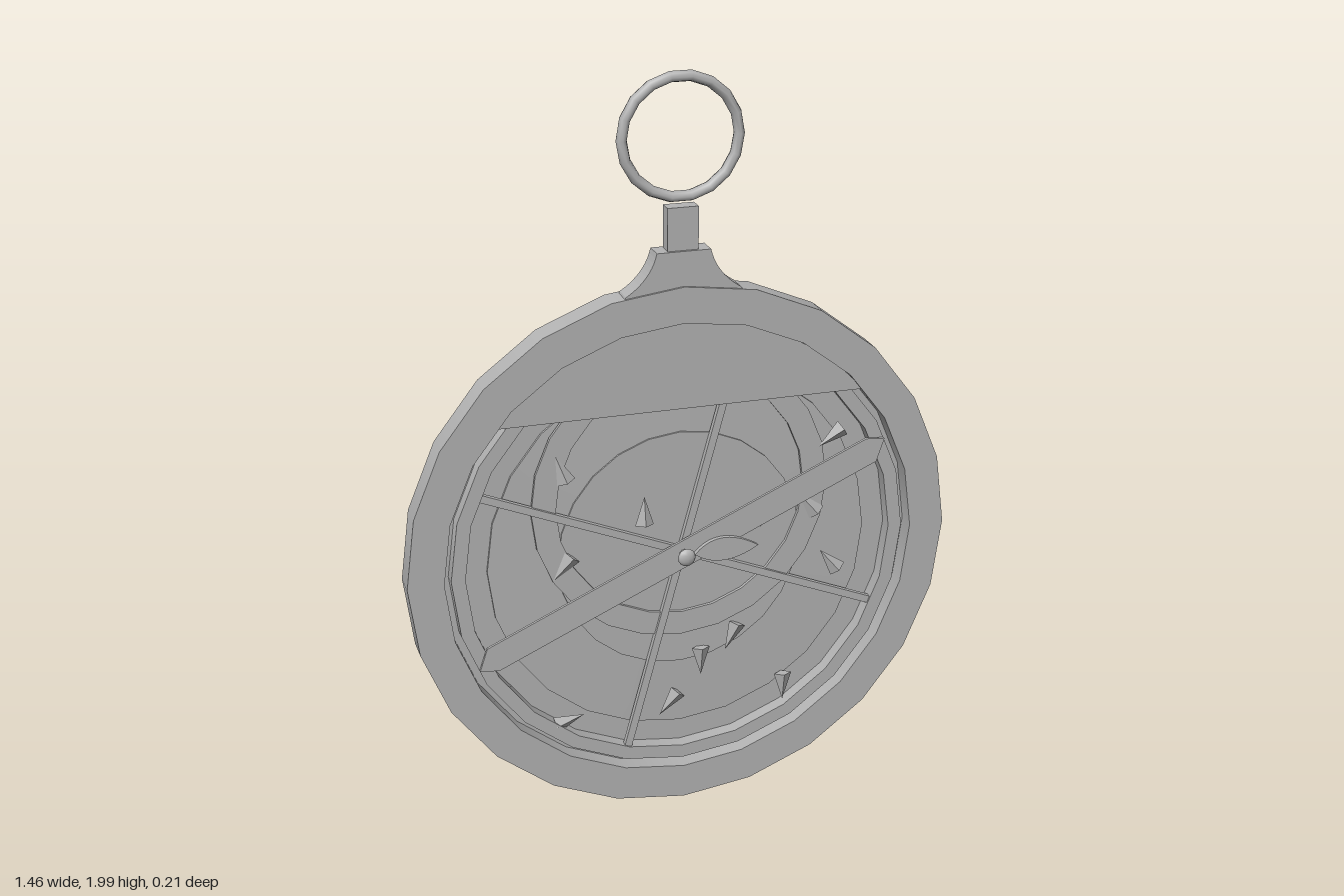
import * as THREE from 'three';
import { mergeGeometries } from 'three/addons/utils/BufferGeometryUtils.js';

const CY = 0.735; // height of the dial centre
const SIDES = 24;

export function createModel() {
  const model = new THREE.Group();
  const metal = new THREE.MeshStandardMaterial({ color: 0xb4b4b4 });
  metal.name = 'grey metal';

  const dial = new THREE.Group();
  dial.name = 'dial';
  dial.position.y = CY;
  model.add(dial);

  function add(parent, name, geometry, x = 0, y = 0, z = 0, angle = 0) {
    const mesh = new THREE.Mesh(geometry, metal);
    mesh.name = name;
    mesh.position.set(x, y, z);
    mesh.rotation.z = angle;
    parent.add(mesh);
    return mesh;
  }

  // Turned part facing +z, with a sharp edge at every profile point
  function turned(profile) {
    const bands = [];
    for (let i = 0; i + 1 < profile.length; i++) {
      const pair = [profile[i], profile[i + 1]].map(p => new THREE.Vector2(...p));
      bands.push(new THREE.LatheGeometry(pair, SIDES));
    }
    return mergeGeometries(bands).rotateX(Math.PI / 2);
  }

  const ringProfile = (inner, outer, back, front) => [
    [inner, back], [outer, back], [outer, front], [inner, front], [inner, back]];

  function plate(points, depth) {
    const shape = points instanceof THREE.Shape ? points
      : new THREE.Shape(points.map(p => new THREE.Vector2(...p)));
    return new THREE.ExtrudeGeometry(shape, { depth, bevelEnabled: false, curveSegments: 10 });
  }

  // Case with raised rim and recessed floor
  add(dial, 'case', turned([
    [0, 0], [0.73, 0], [0.73, 0.073], [0.635, 0.073], [0.635, 0.022], [0, 0.022]]));

  // Shallow stepped discs on the floor
  add(dial, 'outerDisc', turned([[0.515, 0.022], [0.515, 0.029], [0.33, 0.032]]));
  add(dial, 'innerDisc', turned([[0.33, 0.03], [0.33, 0.037], [0, 0.037]]));

  // Segment plate across the top of the dial
  const a = Math.asin(0.405 / 0.635);
  const segment = new THREE.Shape();
  segment.absarc(0, 0, 0.633, a, Math.PI - a, false);
  segment.closePath();
  add(dial, 'horizonPlate', plate(segment, 0.02), 0, 0, 0.044);

  // Pierced star map: outer ring, offset ring and crossing spokes
  add(dial, 'starRing', turned(ringProfile(0.578, 0.615, 0.022, 0.06)));
  add(dial, 'offsetRing', turned(ringProfile(0.335, 0.4, 0.036, 0.046)), 0, 0.155);
  add(dial, 'longSpoke', new THREE.BoxGeometry(1.18, 0.02, 0.016), 0, 0, 0.047, -0.39);
  add(dial, 'crossSpoke', new THREE.BoxGeometry(1.18, 0.02, 0.016), 0, 0, 0.047, 1.305);

  // Star pointers: x, y, direction of the tip in degrees
  const stars = [
    [-0.32, 0.27, 110], [-0.1, 0.125, 90], [0.41, 0.27, 215], [0.185, 0.07, 170],
    [-0.32, -0.01, 230], [0.415, -0.085, 130], [-0.31, -0.455, 15], [-0.035, -0.45, 230],
    [0.29, -0.45, 270], [0.055, -0.335, 270], [0.14, -0.275, 245], [0.35, 0.09, 130]];
  const pointer = new THREE.ConeGeometry(0.025, 0.08, 4).toNonIndexed();
  pointer.scale(1, 1, 0.6);
  pointer.computeVertexNormals();
  for (const [x, y, deg] of stars) {
    add(dial, 'starPointer', pointer, x, y, 0.046, THREE.MathUtils.degToRad(deg - 90));
  }

  // Rotating rule with pointed ends
  add(dial, 'rule', plate([
    [-0.61, -0.012], [-0.565, -0.037], [0.565, -0.037], [0.61, 0.012],
    [0.565, 0.037], [-0.565, 0.037]], 0.008), 0, 0, 0.064, 0.42);

  // Centre pin, its knob and the leaf-shaped wedge
  add(dial, 'pin', new THREE.CylinderGeometry(0.014, 0.014, 0.075, 12).rotateX(Math.PI / 2), 0, 0, 0.06);
  add(dial, 'pinKnob', new THREE.SphereGeometry(0.024, 12, 8).scale(1, 1, 0.5), 0, 0, 0.094);
  const leaf = new THREE.Shape();
  leaf.moveTo(0.025, 0);
  leaf.quadraticCurveTo(0.09, 0.075, 0.2, 0.005);
  leaf.quadraticCurveTo(0.1, -0.055, 0.025, 0);
  add(dial, 'wedge', plate(leaf, 0.012), 0, 0, 0.073);

  // Sighting bar on the back with two upright vanes
  const sight = new THREE.Group();
  sight.name = 'sightingBar';
  sight.rotation.z = -0.203;
  dial.add(sight);
  add(sight, 'bar', new THREE.BoxGeometry(0.052, 1.33, 0.016), 0, 0, -0.008);
  for (const side of [-1, 1]) {
    add(sight, 'sightVane', new THREE.BoxGeometry(0.074, 0.012, 0.092), 0, side * 0.465, -0.06);
  }

  // Flared bracket, neck and hanging ring
  const bracket = new THREE.Shape();
  bracket.moveTo(-0.16, 1.43);
  bracket.lineTo(0.16, 1.43);
  bracket.lineTo(0.15, 1.45);
  bracket.quadraticCurveTo(0.085, 1.49, 0.07, 1.555);
  bracket.lineTo(-0.07, 1.555);
  bracket.quadraticCurveTo(-0.085, 1.49, -0.15, 1.45);
  add(model, 'bracket', plate(bracket, 0.056), 0, 0, 0.011);
  add(model, 'neck', new THREE.BoxGeometry(0.08, 0.13, 0.04), 0, 1.6, 0.039);
  add(model, 'hangingRing', new THREE.TorusGeometry(0.15, 0.014, 8, 18).scale(1, 1, 1.3), 0, 1.836, 0.037);

  return model;
}
